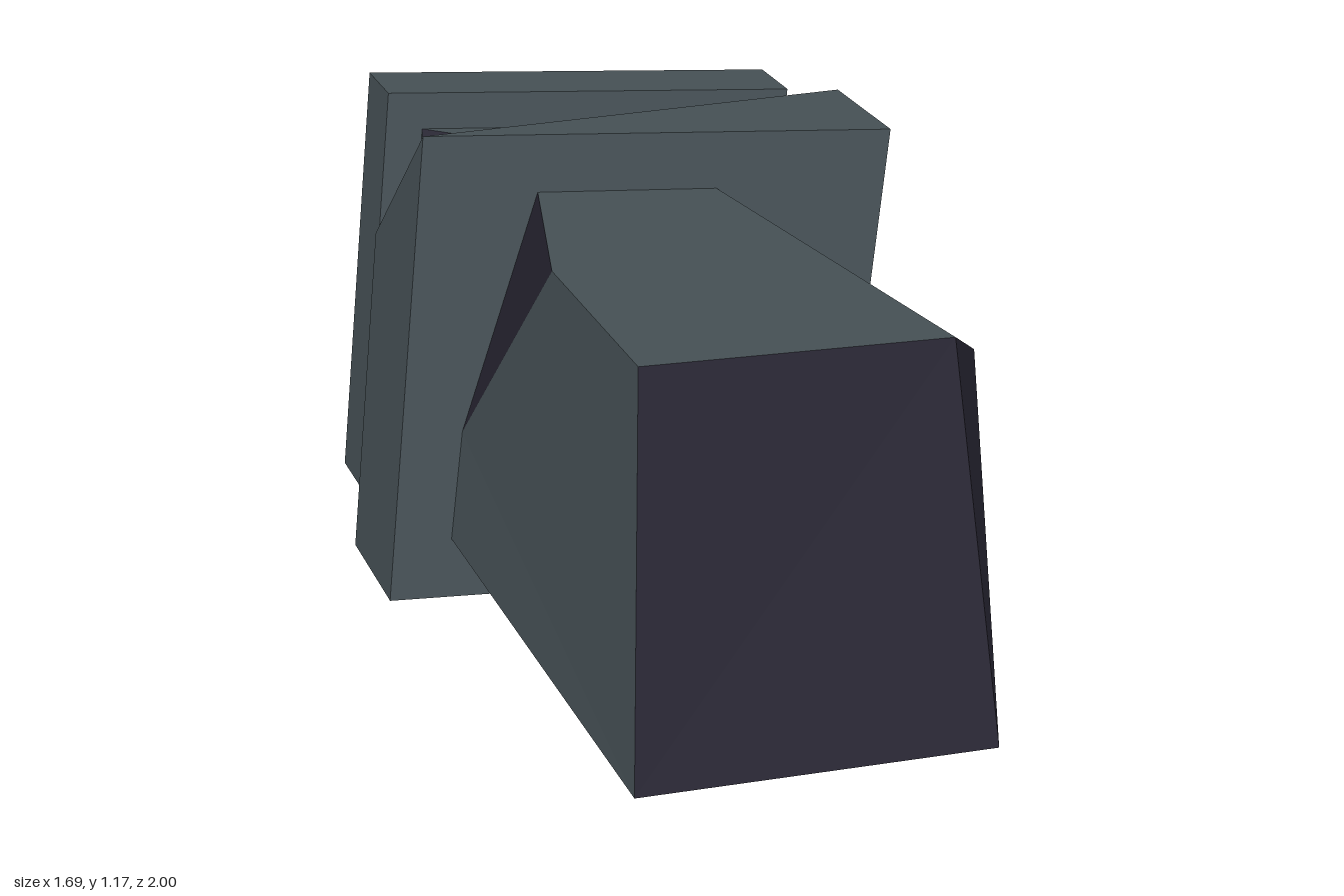
import * as THREE from 'three';

const grey = new THREE.MeshStandardMaterial({ color: 0x4a555a });
grey.name = 'slate grey';
const dark = new THREE.MeshStandardMaterial({ color: 0x2a2835 });
dark.name = 'dark violet';

// Convex flat-faced solid: each face is a corner loop, turned to face away from the middle
function faceted(name, corners, faces, darkFaces = []) {
  const pts = corners.map(c => new THREE.Vector3(...c));
  const middle = pts.reduce((s, p) => s.add(p), new THREE.Vector3()).divideScalar(pts.length);
  const positions = [];
  const addFace = loop => {
    const [a, b, c] = loop.map(i => pts[i]);
    const normal = b.clone().sub(a).cross(c.clone().sub(a));
    const ring = normal.dot(a.clone().sub(middle)) < 0 ? [...loop].reverse() : loop;
    for (let i = 1; i < ring.length - 1; i++) {
      for (const k of [ring[0], ring[i], ring[i + 1]]) positions.push(...pts[k].toArray());
    }
  };
  faces.forEach(addFace);
  const split = positions.length / 3;
  darkFaces.forEach(addFace);
  const geometry = new THREE.BufferGeometry();
  geometry.setAttribute('position', new THREE.Float32BufferAttribute(positions, 3));
  geometry.computeVertexNormals();
  geometry.addGroup(0, split, 0);
  geometry.addGroup(split, positions.length / 3 - split, 1);
  const mesh = new THREE.Mesh(geometry, darkFaces.length ? [grey, dark] : grey);
  mesh.name = name;
  return mesh;
}

// Square-section solid joining two rectangles [left, right, bottom, top, depth]
function frustum(name, front, back) {
  const corners = [front, back].flatMap(([l, r, b, t, z]) => [[l, b, z], [r, b, z], [r, t, z], [l, t, z]]);
  const sides = [0, 1, 2, 3].map(i => [i, (i + 1) % 4, (i + 1) % 4 + 4, i + 4]);
  return faceted(name, corners, [[0, 1, 2, 3], [4, 5, 6, 7], ...sides]);
}

export function createModel() {
  const model = new THREE.Group();
  model.name = 'chamferedBlock';

  // Tilted frame: x across the plates, y up them, z out along the long block
  const body = new THREE.Group();
  body.name = 'tiltedBody';
  body.applyMatrix4(new THREE.Matrix4().makeBasis(
    new THREE.Vector3(0.783, -0.137, -0.607),
    new THREE.Vector3(0.049, 0.985, -0.166),
    new THREE.Vector3(0.621, 0.1, 0.778),
  ).setPosition(-0.52, 0.17, 0.22));
  model.add(body);

  // Long block with slanted dark end and cut upper corners
  body.add(faceted('longBlock', [
    [0.125, 0.148, 1.13], [0.885, 0.143, 1.067], [0.78, 0.9, 0.86], [0.889, 0.823, 0.737],
    [0.128, 0.9, 0.933], [0.125, 0.135, 0], [0.893, 0.135, 0], [0.89, 0.74, 0],
    [0.64, 0.9, 0], [0.25, 0.9, 0], [0.13, 0.38, 0], [0.13, 0.9, 0.45],
  ], [
    [0, 5, 6, 1], [1, 6, 7, 3], [3, 7, 8, 2], [2, 8, 9, 11, 4], [0, 4, 11, 10, 5], [5, 10, 9, 8, 7, 6],
  ], [[0, 1, 2, 4], [1, 3, 2], [9, 10, 11]]));

  // Large plate with one dropped rear corner and one clipped rear corner
  body.add(faceted('largePlate', [
    [0, 0, 0], [1.02, 0, 0], [1.02, 1.022, 0], [0, 1.022, 0],
    [0, 0, -0.28], [0.965, 0, -0.28], [1.02, 0.06, -0.28], [1.02, 1.022, -0.28], [0, 0.72, -0.28],
  ], [
    [0, 1, 2, 3], [0, 4, 5, 1], [1, 6, 7, 2], [1, 5, 6], [2, 7, 3], [3, 7, 8], [0, 3, 8, 4], [4, 8, 7, 6, 5],
  ]));

  // Neck between the plates, with a dark cut corner
  body.add(faceted('neck', [
    [0.14, 0.13, -0.28], [0.88, 0.13, -0.28], [0.88, 0.89, -0.28], [0.43, 0.89, -0.28], [0.14, 0.46, -0.28],
    [0.14, 0.13, -0.455], [0.88, 0.13, -0.455], [0.88, 0.89, -0.455], [0.14, 0.89, -0.455],
  ], [
    [0, 1, 6, 5], [1, 2, 7, 6], [2, 3, 8, 7], [0, 4, 8, 5],
  ], [[3, 4, 8]]));

  // Small plate and the tapered cap behind it
  body.add(frustum('smallPlate', [0.06, 0.98, 0.05, 0.97, -0.455], [0.06, 0.98, 0.05, 0.97, -0.605]));
  body.add(frustum('taperedCap', [0.135, 0.9, 0.13, 0.893, -0.6], [0.268, 0.755, 0.27, 0.75, -0.72]));

  return model;
}
